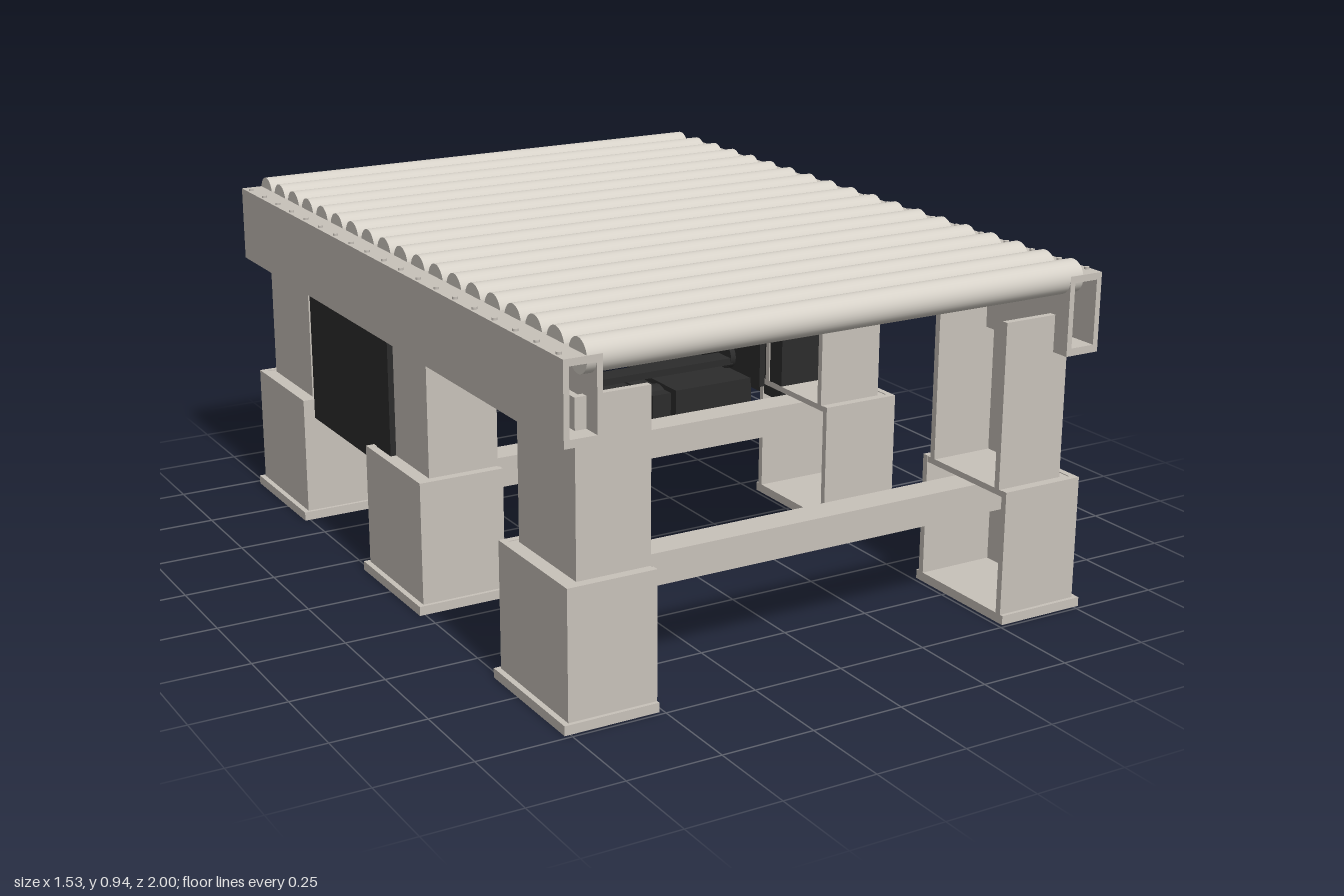
import * as THREE from 'three';

const frameMat = new THREE.MeshStandardMaterial({ color: 0xc8c2ba });
frameMat.name = 'warm grey frame';
const rollerMat = new THREE.MeshStandardMaterial({ color: 0xd6d1c8 });
rollerMat.name = 'light roller grey';
const darkMat = new THREE.MeshStandardMaterial({ color: 0x2c2c2c });
darkMat.name = 'drive black';

// Box given by its limits on each axis
function box(parent, name, mat, x0, x1, y0, y1, z0, z1) {
  const geo = new THREE.BoxGeometry(Math.abs(x1 - x0), y1 - y0, z1 - z0);
  const mesh = new THREE.Mesh(geo, mat);
  mesh.position.set((x0 + x1) / 2, (y0 + y1) / 2, (z0 + z1) / 2);
  mesh.name = name;
  parent.add(mesh);
  return mesh;
}

// Cylinder lying along x
function rod(parent, name, mat, x0, x1, y, z, r, sides = 32) {
  const geo = new THREE.CylinderGeometry(r, r, Math.abs(x1 - x0), sides);
  geo.rotateZ(Math.PI / 2);
  const mesh = new THREE.Mesh(geo, mat);
  mesh.position.set((x0 + x1) / 2, y, z);
  mesh.name = name;
  parent.add(mesh);
  return mesh;
}

// Upright channel, open towards the middle of the table
function channel(parent, name, s, xIn, xOut, y0, y1, zc, half) {
  const t = 0.018;
  box(parent, name + 'Web', frameMat, s * (xOut - t), s * xOut, y0, y1, zc - half, zc + half);
  for (const k of [-1, 1]) {
    const a = zc + k * half, b = zc + k * (half - t);
    box(parent, name + 'Flange', frameMat, s * xIn, s * (xOut - t), y0, y1, Math.min(a, b), Math.max(a, b));
  }
}

function makeLeg(s, z) {
  const leg = new THREE.Group();
  leg.name = 'leg';
  box(leg, 'footPlate', frameMat, s * 0.512, s * 0.765, 0, 0.025, z - 0.184, z + 0.184);
  channel(leg, 'lowerLeg', s, 0.512, 0.75, 0.025, 0.36, z, 0.174);
  box(leg, 'lowerLegTop', frameMat, s * 0.514, s * 0.748, 0.342, 0.358, z - 0.172, z + 0.172);
  channel(leg, 'upperLeg', s, 0.512, 0.71, 0.358, 0.8, z, 0.144);
  return leg;
}

// Hollow rail, extruded along z
function makeRail(s) {
  const rail = new THREE.Group();
  rail.name = 'sideRail';
  const rect = (P, x0, y0, x1, y1) => {
    const p = new P();
    p.moveTo(x0, y0);
    p.lineTo(x1, y0);
    p.lineTo(x1, y1);
    p.lineTo(x0, y1);
    p.closePath();
    return p;
  };
  const shape = rect(THREE.Shape, -0.05, 0.702, 0.05, 0.91);
  shape.holes.push(rect(THREE.Path, -0.035, 0.722, 0.035, 0.892));
  const geo = new THREE.ExtrudeGeometry(shape, { depth: 2, bevelEnabled: false });
  const mesh = new THREE.Mesh(geo, frameMat);
  mesh.name = 'railProfile';
  mesh.position.set(s * 0.715, 0, -1);
  rail.add(mesh);
  return rail;
}

// Chain housing with bearing plate and stepped hubs on its inner side
function makeHousing(s) {
  const g = new THREE.Group();
  g.name = 'chainHousing';
  box(g, 'housingBox', darkMat, s * 0.515, s * 0.726, 0.312, 0.7, -0.598, -0.06);
  box(g, 'bearingPlate', darkMat, s * 0.497, s * 0.515, 0.335, 0.605, -0.5, -0.15);
  rod(g, 'upperHub', darkMat, s * 0.48, s * 0.5, 0.52, -0.32, 0.065);
  rod(g, 'upperHubFlange', darkMat, s * 0.49, s * 0.5, 0.52, -0.32, 0.08);
  rod(g, 'lowerHub', darkMat, s * 0.48, s * 0.5, 0.39, -0.32, 0.038);
  return g;
}

// Motor and gearbox slung under the table
function makeDrive() {
  const g = new THREE.Group();
  g.name = 'gearMotor';
  rod(g, 'motorBody', darkMat, -0.08, 0.24, 0.282, -0.3, 0.062);
  rod(g, 'fanCover', darkMat, -0.14, -0.08, 0.282, -0.3, 0.07);
  for (let i = 0; i < 6; i++) {
    rod(g, 'coolingFin', darkMat, -0.068 + i * 0.022, -0.058 + i * 0.022, 0.282, -0.3, 0.072);
  }
  box(g, 'terminalBox', darkMat, 0.06, 0.18, 0.24, 0.33, -0.42, -0.3);
  box(g, 'gearbox', darkMat, 0.24, 0.5, 0.215, 0.35, -0.49, -0.2);
  box(g, 'gearboxNeck', darkMat, 0.18, 0.24, 0.235, 0.335, -0.485, -0.23);
  rod(g, 'drainPlug', darkMat, 0.32, 0.36, 0.285, -0.495, 0.012, 16);
  box(g, 'driveShaft', darkMat, -0.49, 0.49, 0.371, 0.391, -0.355, -0.285);
  return g;
}

export function createModel() {
  const model = new THREE.Group();
  model.name = 'rollerConveyor';

  // Legs and cross beams
  for (const z of [0.805, 0.004, -0.795]) {
    for (const s of [-1, 1]) model.add(makeLeg(s, z));
    box(model, 'crossBeam', frameMat, -0.732, 0.732, 0.255, 0.339, z - 0.042, z + 0.042);
  }

  // Rails and drive
  for (const s of [-1, 1]) model.add(makeRail(s), makeHousing(s));
  model.add(makeDrive());

  // Rollers with small bolts on the rails
  const boltGeo = new THREE.CylinderGeometry(0.007, 0.007, 0.008, 12);
  for (let i = 0; i < 19; i++) {
    const z = -0.957 + i * 0.10633;
    rod(model, 'roller', rollerMat, -0.705, 0.705, 0.9, z, 0.043, 40);
    for (const s of [-1, 1]) {
      const bolt = new THREE.Mesh(boltGeo, frameMat);
      bolt.name = 'railBolt';
      bolt.position.set(s * 0.752, 0.912, z);
      model.add(bolt);
    }
  }
  return model;
}
